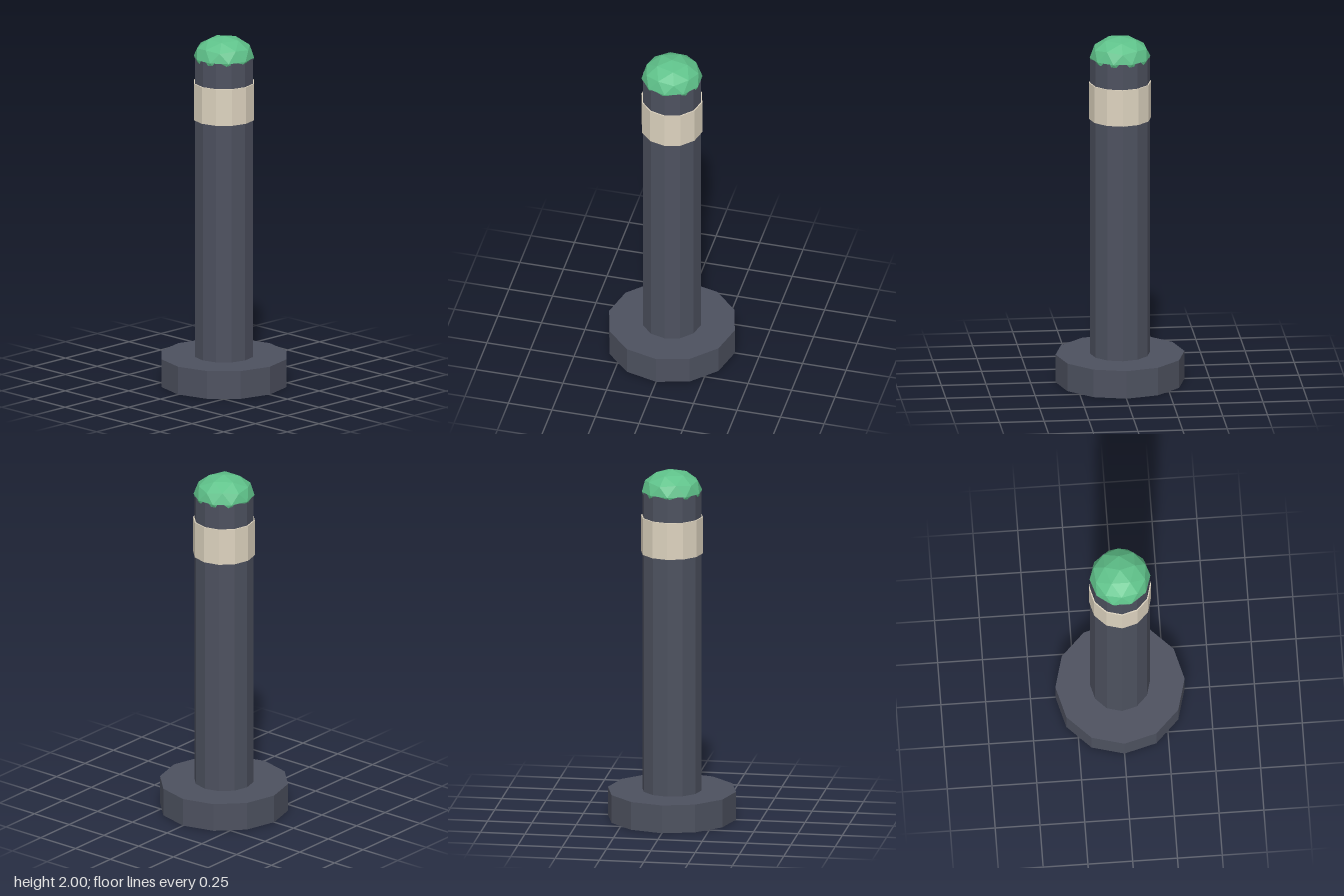
import * as THREE from 'three';

const SIDES = 12;

function material(color) {
  return new THREE.MeshStandardMaterial({ color, flatShading: true });
}

// Faceted upright cylinder standing between two heights
function drum(name, radius, bottom, top, mat) {
  const geo = new THREE.CylinderGeometry(radius, radius, top - bottom, SIDES).toNonIndexed();
  geo.computeVertexNormals();
  const mesh = new THREE.Mesh(geo, mat);
  mesh.name = name;
  mesh.position.y = (bottom + top) / 2;
  return mesh;
}

export function createModel() {
  const group = new THREE.Group();
  group.name = 'bollard';
  const dark = material(0x4d515f);

  group.add(drum('base', 0.361, 0, 0.16, dark));
  group.add(drum('post', 0.167, 0.16, 1.88, dark));
  group.add(drum('band', 0.174, 1.525, 1.735, material(0xddd3bf)));

  // Flattened icosphere cap, turned so one corner points straight up
  const capGeo = new THREE.IcosahedronGeometry(0.17, 1);
  capGeo.rotateZ(-Math.atan(2 / (1 + Math.sqrt(5))));
  capGeo.scale(1, 0.12 / 0.17, 1);
  capGeo.computeVertexNormals();
  const cap = new THREE.Mesh(capGeo, material(0x5fc28a));
  cap.name = 'lampCap';
  cap.position.y = 1.88;
  group.add(cap);

  return group;
}
